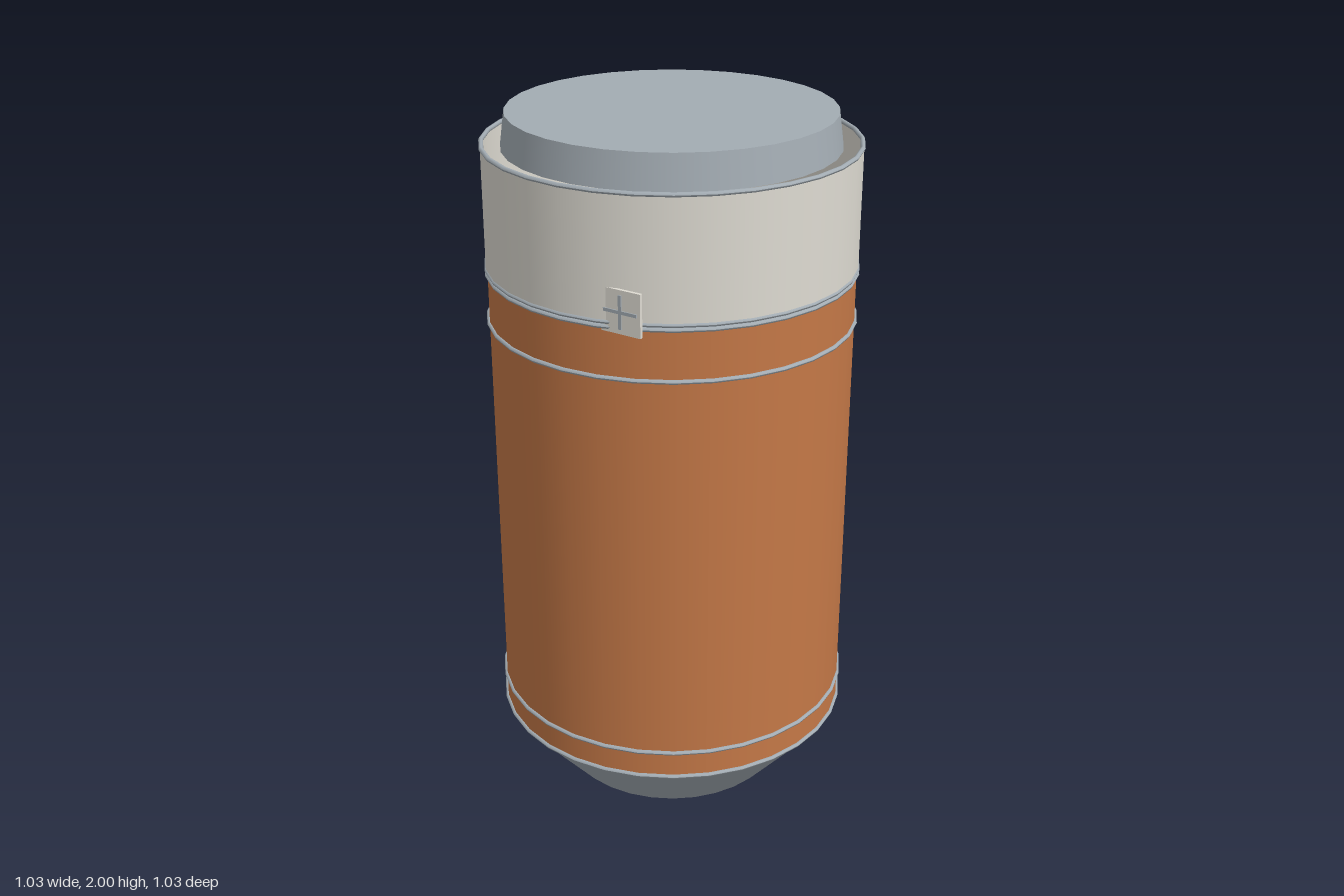
import * as THREE from 'three';

const SIDES = 32;

export function createModel() {
  const group = new THREE.Group();
  group.name = 'canister';

  const material = (name, color) => {
    const m = new THREE.MeshStandardMaterial({ color, side: THREE.DoubleSide });
    m.name = name;
    return m;
  };
  const orange = material('copper orange', 0xc47847);
  const metal = material('blue grey metal', 0xa3acb3);
  const ivory = material('ivory', 0xdedbd2);

  const add = (name, geometry, mat, x = 0, y = 0, z = 0) => {
    const mesh = new THREE.Mesh(geometry, mat);
    mesh.name = name;
    mesh.position.set(x, y, z);
    group.add(mesh);
    return mesh;
  };

  // Open or closed round wall between two heights
  const wall = (name, bottomR, topR, y0, y1, mat, open = true) =>
    add(name, new THREE.CylinderGeometry(topR, bottomR, y1 - y0, SIDES, 1, open), mat, 0, (y0 + y1) / 2);

  // Hollow shell: tapered foot, main body, upper band
  wall('taperedBase', 0.33, 0.51, 0, 0.212, metal);
  wall('body', 0.508, 0.508, 0.212, 1.585, orange);
  wall('upperBand', 0.512, 0.512, 1.582, 1.912, ivory);

  // Lid floating inside the mouth
  wall('lid', 0.458, 0.445, 1.905, 2, metal, false);

  // Rounded hoops around the shell
  const hoopProfile = [];
  for (let i = 0; i <= 8; i++) {
    const a = (i / 8) * Math.PI * 2;
    hoopProfile.push(new THREE.Vector2(0.509 + 0.0065 * Math.cos(a), 0.0065 * Math.sin(a)));
  }
  [0.214, 0.294, 1.428, 1.568, 1.581, 1.915].forEach((y, i) =>
    add(`hoop${i + 1}`, new THREE.LatheGeometry(hoopProfile, SIDES), metal, 0, y));

  // Small square badge with a raised plus mark
  add('badgePlate', new THREE.BoxGeometry(0.12, 0.116, 0.009), ivory, 0.17, 1.615, 0.4895);
  add('badgeBarAcross', new THREE.BoxGeometry(0.1, 0.009, 0.003), metal, 0.17, 1.615, 0.4955);
  add('badgeBarUpright', new THREE.BoxGeometry(0.009, 0.09, 0.003), metal, 0.17, 1.615, 0.4955);

  return group;
}
